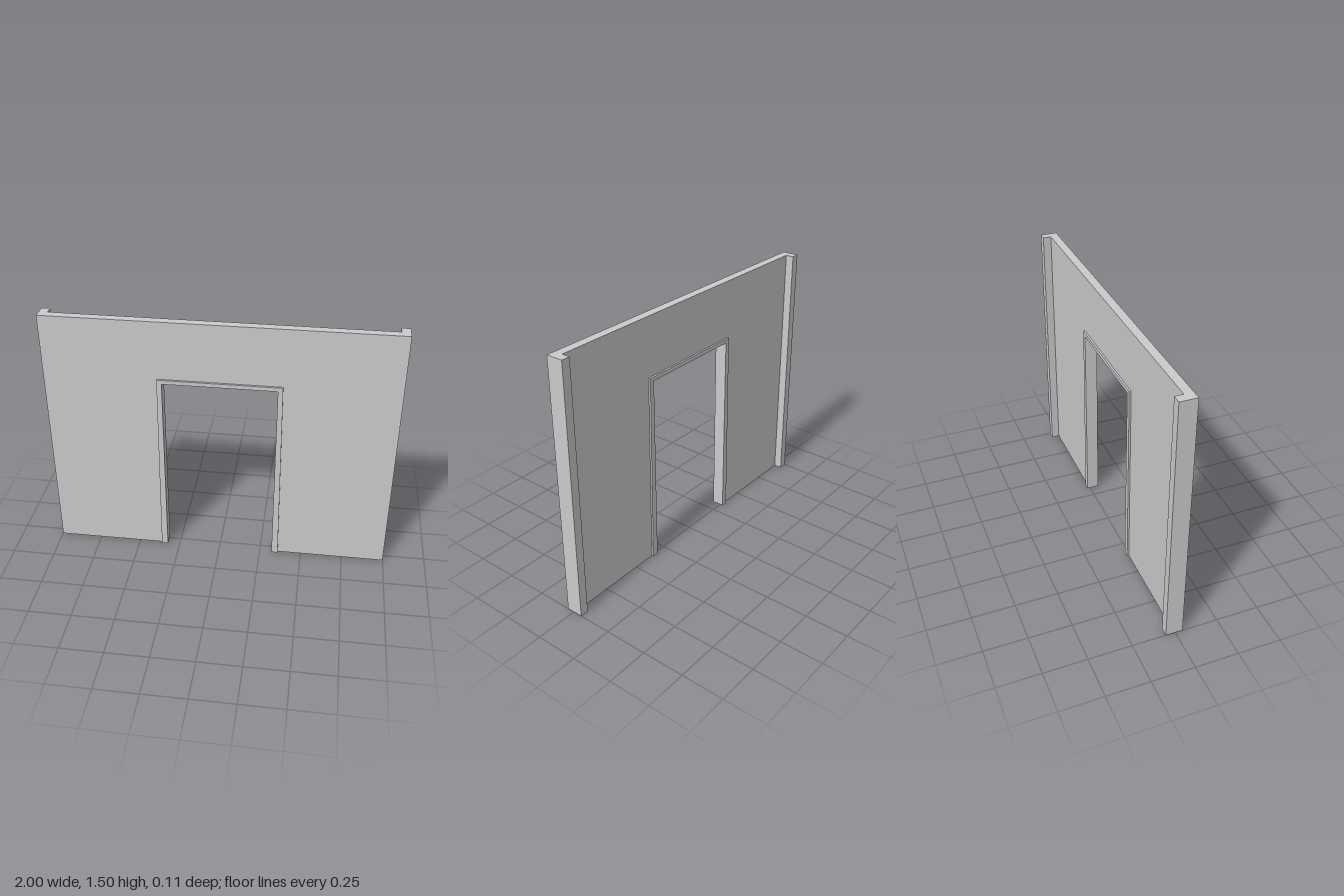
import * as THREE from 'three';

const material = new THREE.MeshStandardMaterial({ color: 0xcccccc, flatShading: true });

// Extrude an outline in the xy plane between two depths
function slab(name, points, zBack, zFront) {
  const shape = new THREE.Shape(points.map(([x, y]) => new THREE.Vector2(x, y)));
  const geometry = new THREE.ExtrudeGeometry(shape, { depth: zFront - zBack, bevelEnabled: false });
  geometry.translate(0, 0, zBack);
  const mesh = new THREE.Mesh(geometry, material);
  mesh.name = name;
  return mesh;
}

// Outline of an upside-down U: outer edge, then inner opening
function arch(outerBottom, outerTop, outerHeight, innerX, innerHeight) {
  return [
    [innerX, 0], [outerBottom, 0], [outerTop, outerHeight],
    [-outerTop, outerHeight], [-outerBottom, 0], [-innerX, 0],
    [-innerX, innerHeight], [innerX, innerHeight],
  ];
}

export function createModel() {
  const group = new THREE.Group();
  group.name = 'doorwayWall';

  const height = 1.503;
  const front = 0.043, back = -0.007, postBack = -0.055;
  const postWidth = 0.05;

  // Wall panel; its opening edge is buried inside the door frame
  group.add(slab('wallPanel', arch(1, 1, height, 0.336, 1.145), back, front));

  // Posts projecting from the back at both ends
  for (const side of [1, -1]) {
    const post = new THREE.Mesh(
      new THREE.BoxGeometry(postWidth, height, back - postBack), material);
    post.position.set(side * (1 - postWidth / 2), height / 2, (back + postBack) / 2);
    post.name = side > 0 ? 'leftPost' : 'rightPost';
    group.add(post);
  }

  // Door frame, slightly flared to the floor and proud of both faces
  group.add(slab('doorFrame', arch(0.361, 0.351, 1.157, 0.323, 1.133), -0.018, 0.055));

  return group;
}
